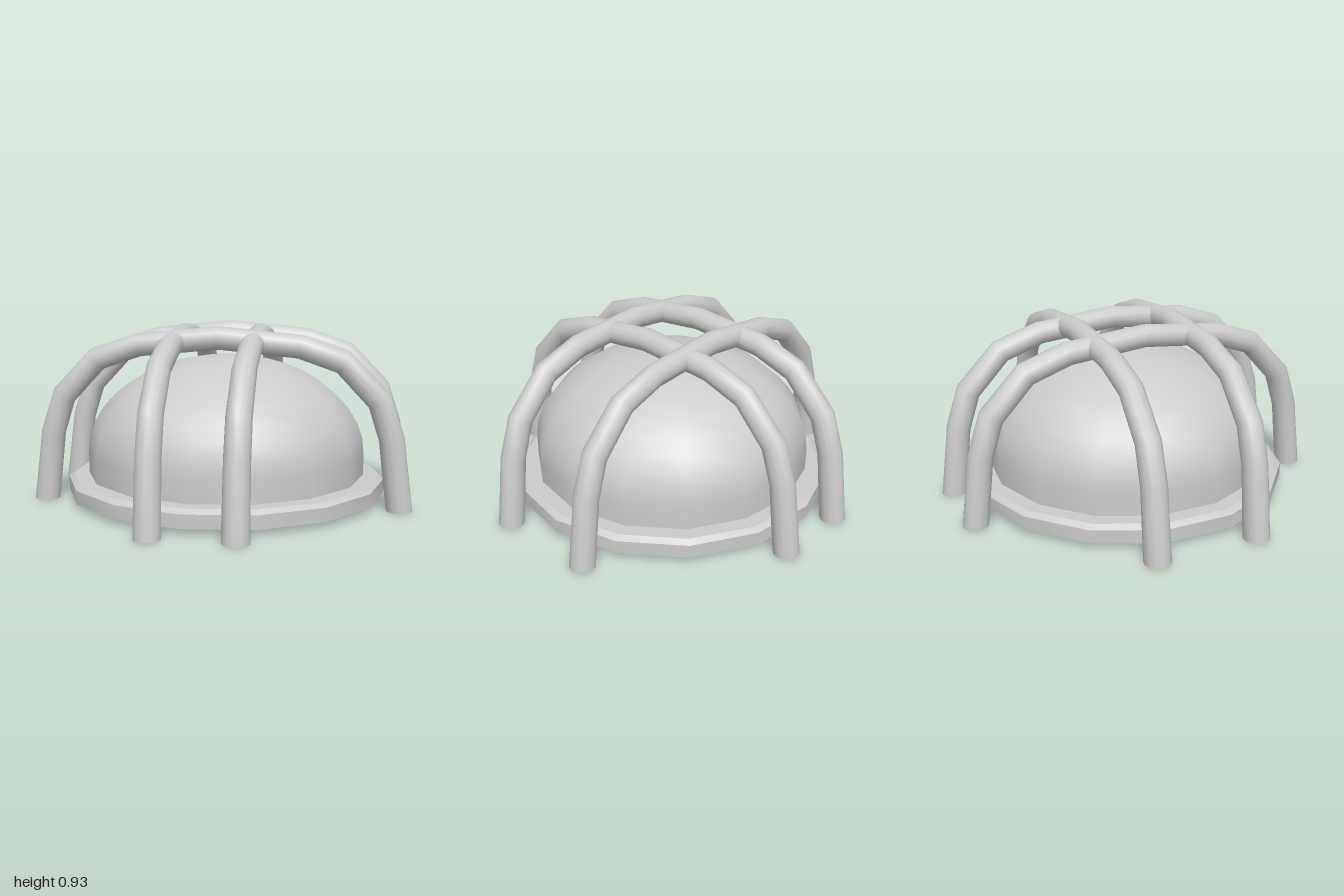
import * as THREE from 'three';
import { toCreasedNormals } from 'three/addons/utils/BufferGeometryUtils.js';

const SIDES = 15;      // sides of the base and dome
const BAR_SIDES = 12;  // sides of each guard bar

// Half of the arch: [distance from centre, height, bar radius]
const HALF_ARCH = [
  [0.933, 0, 0.067],
  [0.888, 0.365, 0.064],
  [0.825, 0.56, 0.063],
  [0.64, 0.755, 0.061],
  [0.42, 0.83, 0.06],
];

// Bent bar in the xy plane with mitred joints and closed feet
function archGeometry() {
  const path = [
    ...HALF_ARCH.map(([x, y, r]) => [-x, y, r]),
    [0, 0.87, 0.06],
    ...HALF_ARCH.slice().reverse(),
  ];
  const last = path.length - 1;
  const direction = (a, b) => new THREE.Vector2(b[0] - a[0], b[1] - a[1]).normalize();
  const positions = [];
  const index = [];

  path.forEach((p, i) => {
    let normal;
    let stretch = 1;
    if (i === 0 || i === last) {
      normal = new THREE.Vector2(i === 0 ? -1 : 1, 0); // feet are cut level
    } else {
      const before = direction(path[i - 1], p);
      const tangent = before.clone().add(direction(p, path[i + 1])).normalize();
      stretch = 1 / tangent.dot(before);
      normal = new THREE.Vector2(-tangent.y, tangent.x);
    }
    for (let j = 0; j < BAR_SIDES; j++) {
      const t = (j / BAR_SIDES) * Math.PI * 2;
      const out = Math.cos(t) * p[2] * stretch;
      positions.push(p[0] + normal.x * out, p[1] + normal.y * out, Math.sin(t) * p[2]);
    }
  });

  for (let i = 0; i < last; i++) {
    for (let j = 0; j < BAR_SIDES; j++) {
      const a = i * BAR_SIDES + j;
      const b = i * BAR_SIDES + (j + 1) % BAR_SIDES;
      index.push(a, b, a + BAR_SIDES, b, b + BAR_SIDES, a + BAR_SIDES);
    }
  }
  // Foot caps
  const end = last * BAR_SIDES;
  for (let j = 1; j < BAR_SIDES - 1; j++) {
    index.push(0, j + 1, j, end, end + j, end + j + 1);
  }

  const geometry = new THREE.BufferGeometry();
  geometry.setAttribute('position', new THREE.Float32BufferAttribute(positions, 3));
  geometry.setIndex(index);
  return toCreasedNormals(geometry, 0.7);
}

// Turned shape with one corner pointing to +x
function turned(points) {
  const profile = points.map(([r, y]) => new THREE.Vector2(r, y));
  return new THREE.LatheGeometry(profile, SIDES, Math.PI / 2);
}

export function createModel() {
  const model = new THREE.Group();
  model.name = 'cagedLamp';
  const material = new THREE.MeshStandardMaterial({ color: 0xcccccc });
  const add = (name, geometry) => {
    const mesh = new THREE.Mesh(geometry, material);
    mesh.name = name;
    model.add(mesh);
    return mesh;
  };

  // Base plate with a bevelled rim
  add('basePlate', toCreasedNormals(
    turned([[0, 0.03], [0.86, 0.03], [0.86, 0.1], [0.83, 0.12], [0, 0.12]]), 0.5));

  // Lamp dome: short straight wall, then a flattened half sphere
  const dome = [[0.75, 0.11]];
  const steps = 10;
  for (let i = 0; i <= steps; i++) {
    const t = (i / steps) * Math.PI / 2;
    dome.push([i === steps ? 0 : 0.75 * Math.cos(t), 0.24 + 0.52 * Math.sin(t)]);
  }
  add('lampDome', turned(dome));

  // Guard bars: two across, two front to back
  const arch = archGeometry();
  for (const z of [-0.27, 0.27]) {
    add('crossGuardBar', arch).position.z = z;
  }
  for (const x of [-0.225, 0.185]) {
    const bar = add('lengthGuardBar', arch);
    bar.rotation.y = Math.PI / 2;
    bar.position.x = x;
  }
  return model;
}
